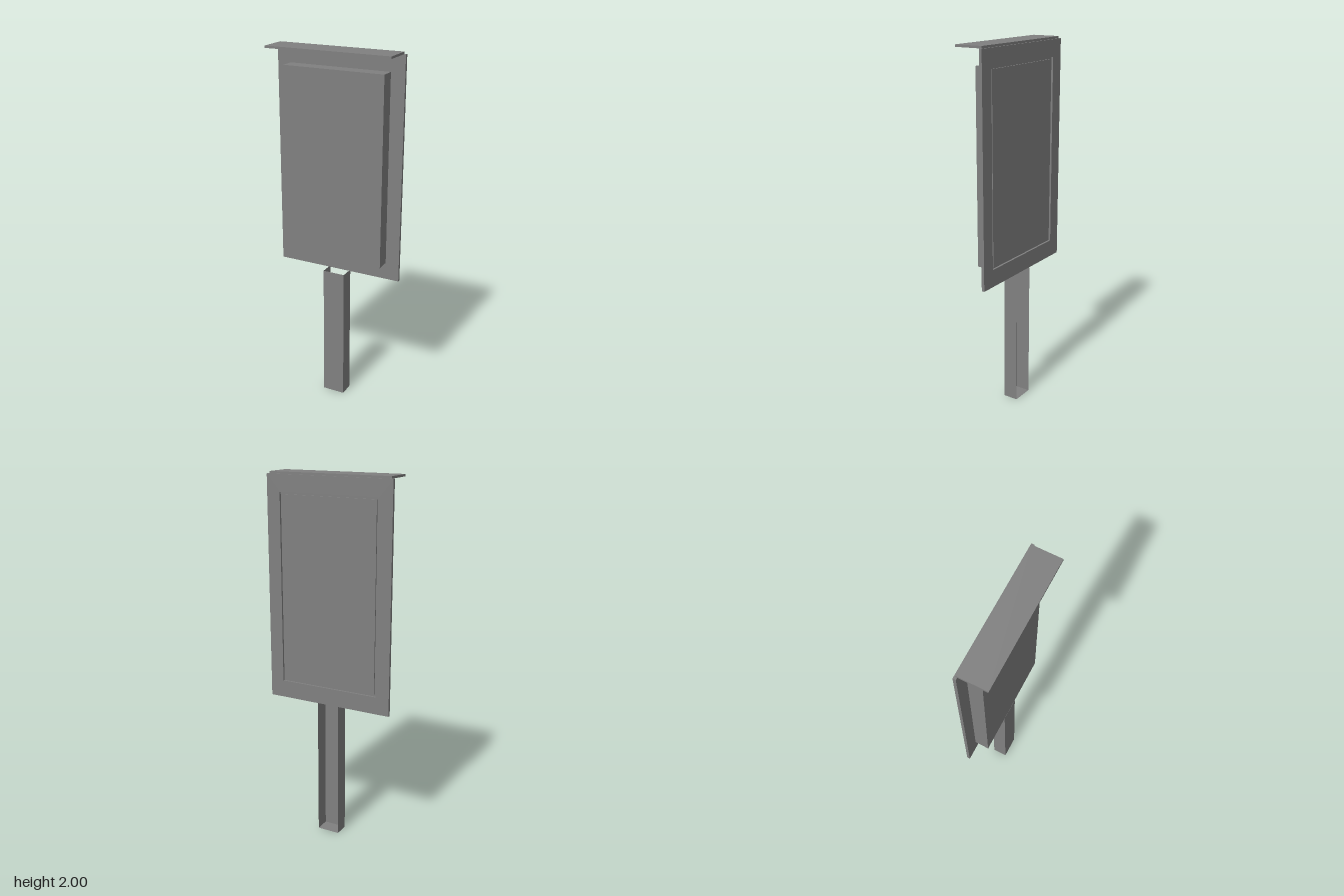
import * as THREE from 'three';

export function createModel() {
  const group = new THREE.Group();
  const grey = new THREE.MeshStandardMaterial({ color: 0x808080, side: THREE.DoubleSide });
  grey.name = 'grey';

  const add = (name, geometry) => {
    const mesh = new THREE.Mesh(geometry, grey);
    mesh.name = name;
    group.add(mesh);
    return mesh;
  };
  // Box given by its lower and upper limits
  const box = (name, x0, x1, y0, y1, z0, z1) =>
    add(name, new THREE.BoxGeometry(x1 - x0, y1 - y0, z1 - z0))
      .position.set((x0 + x1) / 2, (y0 + y1) / 2, (z0 + z1) / 2);
  const rectangle = (target, w, y0, y1) =>
    target.moveTo(-w, y0).lineTo(w, y0).lineTo(w, y1).lineTo(-w, y1).closePath();

  // Mounting panel with a window for the cabinet
  const panel = rectangle(new THREE.Shape(), 0.362, 0.768, 1.988);
  panel.holes.push(rectangle(new THREE.Path(), 0.285, 0.863, 1.897));
  add('mountingPanel', new THREE.ExtrudeGeometry(panel, { depth: 0.016, bevelEnabled: false }))
    .position.z = -0.082;

  // Cabinet, with a back plate leaving a narrow groove inside the window
  box('cabinet', -0.285, 0.285, 0.863, 1.897, -0.071, 0.012);
  box('cabinetBackPlate', -0.274, 0.274, 0.874, 1.886, -0.078, -0.071);

  // Thin canopy over the panel
  box('canopy', -0.35, 0.35, 1.988, 2, -0.074, 0.082);

  // Post: thin channel open at the back and top, closed at the foot
  const w = 0.063, h = 0.768, front = -0.002, back = -0.084;
  const depth = front - back, mid = (front + back) / 2;
  add('postFront', new THREE.PlaneGeometry(2 * w, h)).position.set(0, h / 2, front);
  for (const side of [-1, 1]) {
    const wall = add(side > 0 ? 'postLeftWall' : 'postRightWall', new THREE.PlaneGeometry(depth, h));
    wall.rotation.y = side * Math.PI / 2;
    wall.position.set(side * w, h / 2, mid);
  }
  const foot = add('postFoot', new THREE.PlaneGeometry(2 * w, depth));
  foot.rotation.x = Math.PI / 2;
  foot.position.set(0, 0, mid);

  return group;
}
